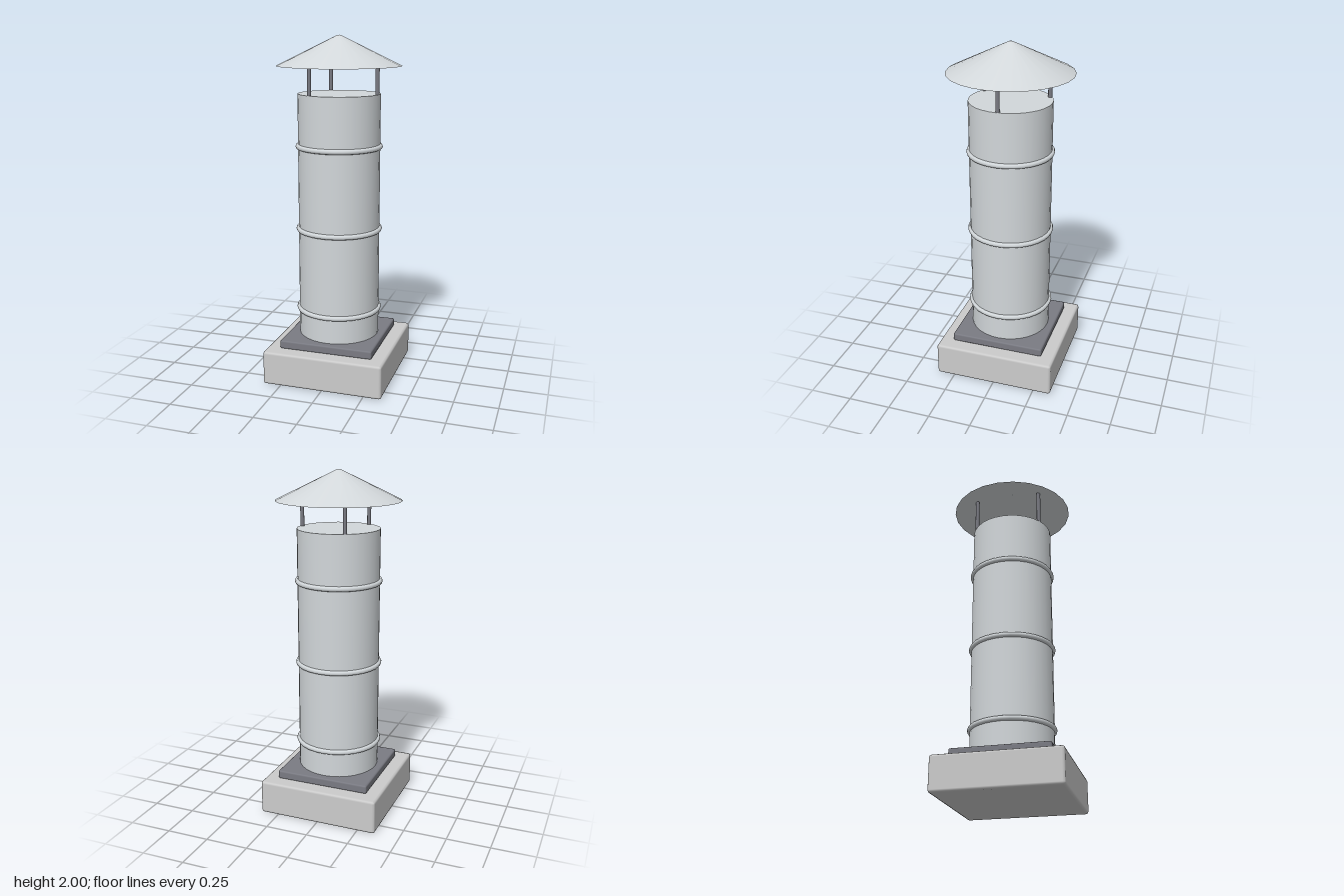
import * as THREE from 'three';
import { RoundedBoxGeometry } from 'three/addons/geometries/RoundedBoxGeometry.js';

export function createModel() {
  const model = new THREE.Group();
  model.name = 'chimney';

  const stone = new THREE.MeshStandardMaterial({ color: 0xcccccc });
  const metal = new THREE.MeshStandardMaterial({ color: 0xd2d7da });
  const capMetal = new THREE.MeshStandardMaterial({ color: 0xd2d7da, side: THREE.DoubleSide });
  const darkMetal = new THREE.MeshStandardMaterial({ color: 0x7a7b83 });

  function add(name, geometry, material, x = 0, y = 0, z = 0) {
    const mesh = new THREE.Mesh(geometry, material);
    mesh.name = name;
    mesh.position.set(x, y, z);
    model.add(mesh);
    return mesh;
  }

  // Stone base and the metal flashing plate on it
  add('base', new RoundedBoxGeometry(0.713, 0.2, 0.713, 1, 0.015), stone, 0, 0.1, 0);
  add('flashingPlate', new RoundedBoxGeometry(0.556, 0.05, 0.556, 1, 0.01), darkMetal, 0, 0.225, 0);

  // Flue pipe
  const pipeBottom = 0.2, pipeTop = 1.675, pipeRadius = 0.237;
  add('pipe', new THREE.CylinderGeometry(pipeRadius, pipeRadius, pipeTop - pipeBottom, 32),
    metal, 0, (pipeBottom + pipeTop) / 2, 0);

  // Joint bands around the pipe
  for (const y of [0.405, 0.89, 1.375]) {
    add('jointBand', new THREE.TorusGeometry(pipeRadius, 0.015, 8, 32), metal, 0, y, 0).rotation.x = Math.PI / 2;
  }

  // Three rods carrying the cap
  const rodBottom = 1.67, rodTop = 1.885, rodRing = 0.224;
  for (let i = 0; i < 3; i++) {
    const a = (i * Math.PI * 2) / 3;
    add('capRod', new THREE.CylinderGeometry(0.012, 0.012, rodTop - rodBottom, 8), darkMetal,
      rodRing * Math.cos(a), (rodBottom + rodTop) / 2, rodRing * Math.sin(a));
  }

  // Conical rain cap: outer skin and the hollow underside, meeting at the rim
  const rim = 1.83, capRadius = 0.357;
  const cone = (points) => new THREE.LatheGeometry(points.map(([r, y]) => new THREE.Vector2(r, y)), 24);
  add('capOuter', cone([[capRadius, rim], [0.012, 1.998], [0, 2]]), capMetal);
  add('capUnderside', cone([[0, 1.985], [capRadius, rim]]), capMetal);

  return model;
}
